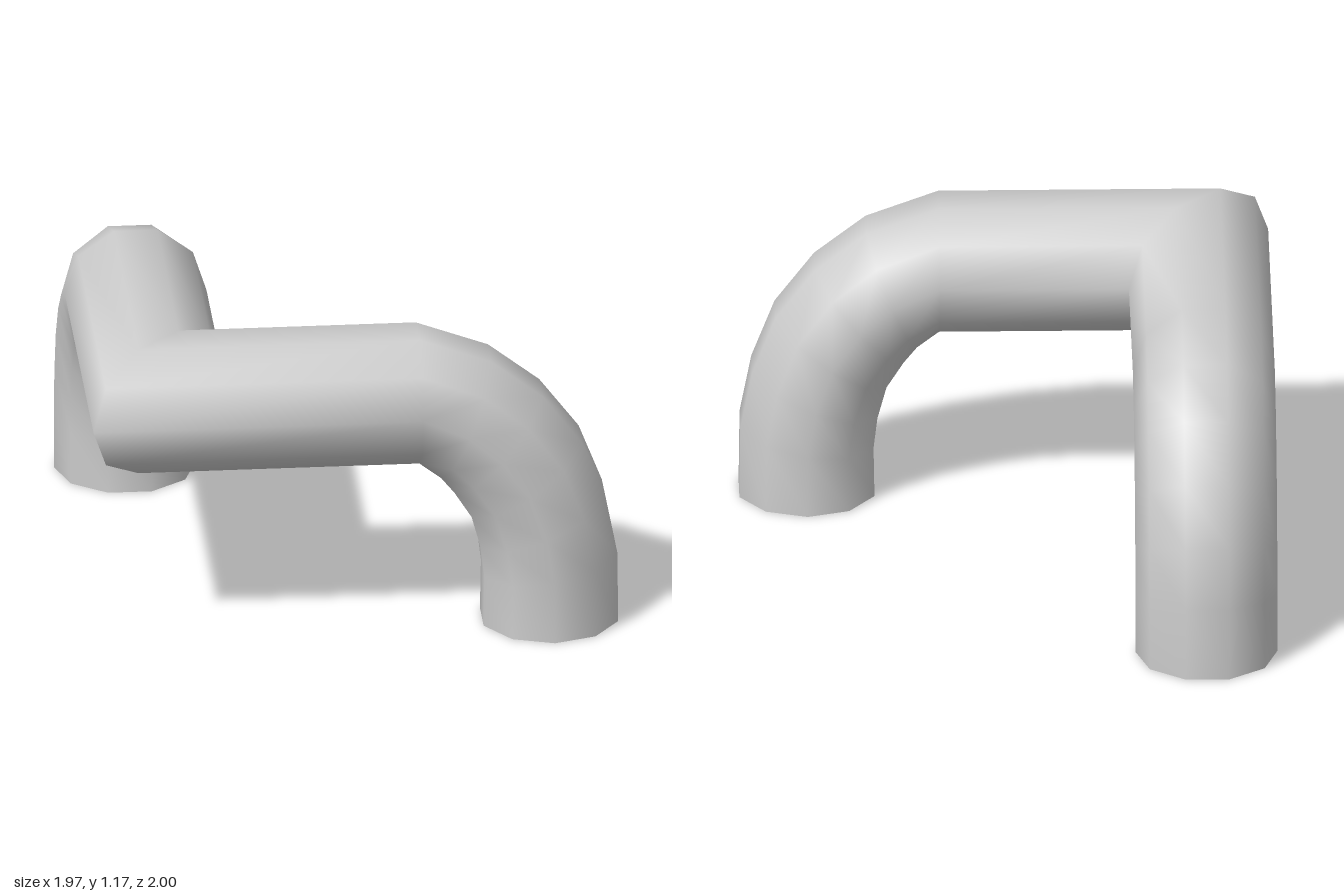
import * as THREE from 'three';

const SIDES = 10, R = 0.263, ARM_Y = 0.917;
const CORNER = new THREE.Vector3(-0.722, 0, 0.737);
const UP = new THREE.Vector3(0, 1, 0);

// One leg and bend, from the foot up: [distance inside the leg axis, height, tilt in degrees]
const BEND = [
  [0, 0, 0], [0, 0.237, 9.6], [0.029, 0.41, 22], [0.089, 0.584, 34.7],
  [0.194, 0.731, 49], [0.314, 0.836, 68], [0.489, ARM_Y, 90],
];

// Cross-sections of an arm that runs from the corner along dir, ending in a bent leg
function armRings(dir, side, length) {
  return BEND.map(([inset, y, deg]) => {
    const a = THREE.MathUtils.degToRad(deg);
    return {
      centre: CORNER.clone().addScaledVector(dir, length - inset).setY(y),
      side,
      normal: dir.clone().multiplyScalar(Math.cos(a)).addScaledVector(UP, Math.sin(a)),
    };
  });
}

// Open ten-sided tube skinned through the rings
function skin(rings) {
  const positions = [], index = [];
  rings.forEach(({ centre, side, normal }, i) => {
    for (let j = 0; j < SIDES; j++) {
      const t = (j / SIDES) * Math.PI * 2;
      const p = centre.clone()
        .addScaledVector(side, R * Math.cos(t))
        .addScaledVector(normal, R * Math.sin(t));
      positions.push(p.x, p.y, p.z);
      if (i === 0) continue;
      const k = (j + 1) % SIDES, lo = (i - 1) * SIDES, hi = i * SIDES;
      index.push(lo + j, lo + k, hi + j, lo + k, hi + k, hi + j);
    }
  });
  const geometry = new THREE.BufferGeometry();
  geometry.setAttribute('position', new THREE.Float32BufferAttribute(positions, 3));
  geometry.setIndex(index);
  geometry.computeVertexNormals();
  return geometry;
}

export function createModel() {
  const group = new THREE.Group();
  group.name = 'cornerPipe';

  const right = new THREE.Vector3(1, 0, 0), back = new THREE.Vector3(0, 0, -1);
  const frontSide = new THREE.Vector3(0, 0, 1), outerSide = new THREE.Vector3(-1, 0, 0);

  // Mitred ring where the two arms meet
  const mitre = {
    centre: CORNER.clone().setY(ARM_Y),
    side: frontSide.clone().add(outerSide),
    normal: UP,
  };
  const rings = [
    ...armRings(right, frontSide, 1.452),
    mitre,
    ...armRings(back, outerSide, 1.487).reverse(),
  ];

  const pipe = new THREE.Mesh(
    skin(rings),
    new THREE.MeshStandardMaterial({ color: 0xcccccc, side: THREE.DoubleSide }),
  );
  pipe.name = 'bentPipe';
  group.add(pipe);
  return group;
}
